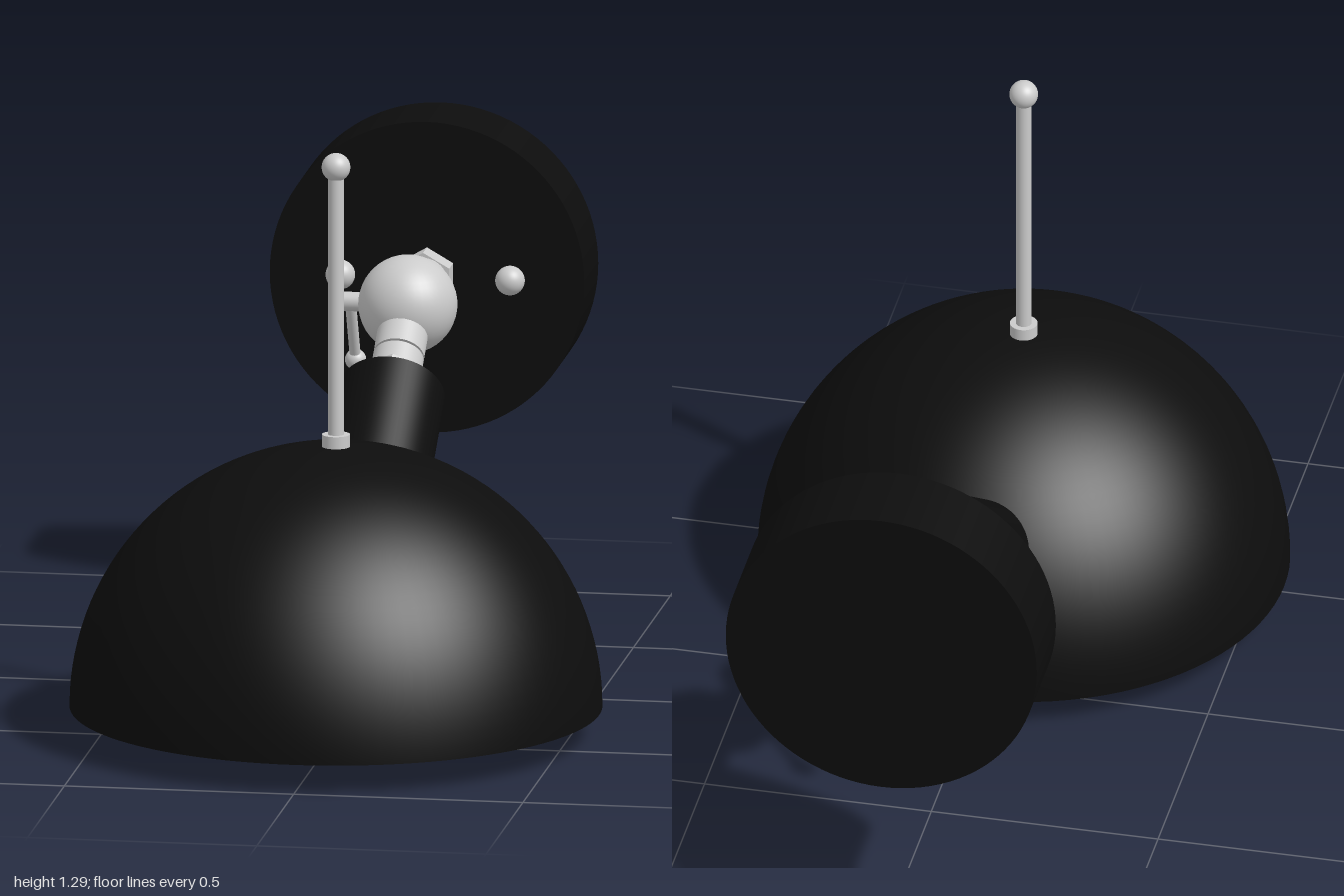
import * as THREE from 'three';

const black = new THREE.MeshStandardMaterial({ color: 0x0d0d0d });
const grey = new THREE.MeshStandardMaterial({ color: 0xcccccc });
const greyFlat = new THREE.MeshStandardMaterial({ color: 0xcccccc, flatShading: true });
const greyInside = new THREE.MeshStandardMaterial({ color: 0xcccccc, side: THREE.DoubleSide });

function add(parent, name, geometry, material, x = 0, y = 0, z = 0) {
  const mesh = new THREE.Mesh(geometry, material);
  mesh.name = name;
  mesh.position.set(x, y, z);
  parent.add(mesh);
  return mesh;
}

// Cylinder along the parent's y axis between two heights
function rod(parent, name, r, from, to, material = grey, sides = 48, rTop = r) {
  return add(parent, name, new THREE.CylinderGeometry(rTop, r, to - from, sides), material, 0, (from + to) / 2, 0);
}

function ball(parent, name, r, x, y, z) {
  return add(parent, name, new THREE.SphereGeometry(r, 40, 24), grey, x, y, z);
}

function makeGroup(parent, name, x, y, z, tilt = 0) {
  const group = new THREE.Group();
  group.name = name;
  group.position.set(x, y, z);
  group.rotation.x = tilt;
  parent.add(group);
  return group;
}

export function createModel() {
  const model = new THREE.Group();
  model.name = 'wallLamp';
  const jointY = 0.73, jointZ = -0.55;

  // Shade: black outer shell, pale lining and a thin rim joining them
  const shade = makeGroup(model, 'shade', 0, 0.065, 0.425);
  const R = 0.574, inner = 0.566;
  const dome = (r) => new THREE.SphereGeometry(r, 96, 32, 0, Math.PI * 2, 0, Math.PI / 2);
  add(shade, 'shadeShell', dome(R), black);
  add(shade, 'shadeLining', dome(inner), greyInside);
  add(shade, 'shadeRim', new THREE.RingGeometry(inner, R, 96), black).rotation.x = Math.PI / 2;

  // Upright handle on top of the shade
  rod(shade, 'handleCollar', 0.03, 0.56, 0.6);
  rod(shade, 'handleRod', 0.017, 0.59, 1.19, grey, 32);
  ball(shade, 'handleKnob', 0.031, 0, 1.19, 0);

  // Round wall plate with its neck and screws; local y points to the wall
  const mount = makeGroup(model, 'wallMount', 0, jointY, jointZ, -Math.PI / 2);
  rod(mount, 'wallPlate', 0.343, 0.26, 0.45, black, 96);
  rod(mount, 'mountNeck', 0.048, 0.05, 0.22);
  rod(mount, 'mountNeckRing', 0.055, 0.08, 0.15);
  rod(mount, 'mountNeckRing', 0.055, 0.156, 0.206);
  rod(mount, 'mountNut', 0.066, 0.206, 0.262, greyFlat, 6);
  for (const side of [-1, 1]) ball(model, 'plateScrew', 0.032, side * 0.185, 0.735, -0.785);

  // Ball joint with its locking lever on the right
  ball(model, 'ballJoint', 0.107, 0, jointY, jointZ);
  const lever = makeGroup(model, 'lockingLever', -0.126, jointY, jointZ - 0.005, Math.PI + 0.45);
  const pivot = add(lever, 'leverPivot', new THREE.CylinderGeometry(0.021, 0.021, 0.06, 32), grey, 0.01, 0, 0);
  pivot.rotation.z = Math.PI / 2;
  rod(lever, 'leverRod', 0.012, 0, 0.16, grey, 24);
  ball(lever, 'leverKnob', 0.023, 0, 0.16, 0);

  // Arm; local y runs from the joint down into the shade
  const arm = makeGroup(model, 'arm', 0, jointY, jointZ, 2.18);
  rod(arm, 'armNeck', 0.048, 0.05, 0.22);
  rod(arm, 'armNeckRing', 0.055, 0.08, 0.15);
  rod(arm, 'armNeckRing', 0.055, 0.156, 0.206);
  rod(arm, 'armNut', 0.068, 0.206, 0.265, greyFlat, 6);
  rod(arm, 'socketSleeve', 0.114, 0.256, 0.63, black, 64);

  // Bulb: short neck swelling into a globe
  const centre = 0.948, r = 0.187;
  const profile = [new THREE.Vector2(0.07, 0.62), new THREE.Vector2(0.07, 0.7), new THREE.Vector2(0.078, 0.74)];
  for (let i = 0; i <= 24; i++) {
    const a = 0.55 + (Math.PI - 0.55) * i / 24;
    profile.push(new THREE.Vector2(Math.max(r * Math.sin(a), 0), centre - r * Math.cos(a)));
  }
  add(arm, 'bulb', new THREE.LatheGeometry(profile, 48), greyInside);

  return model;
}
